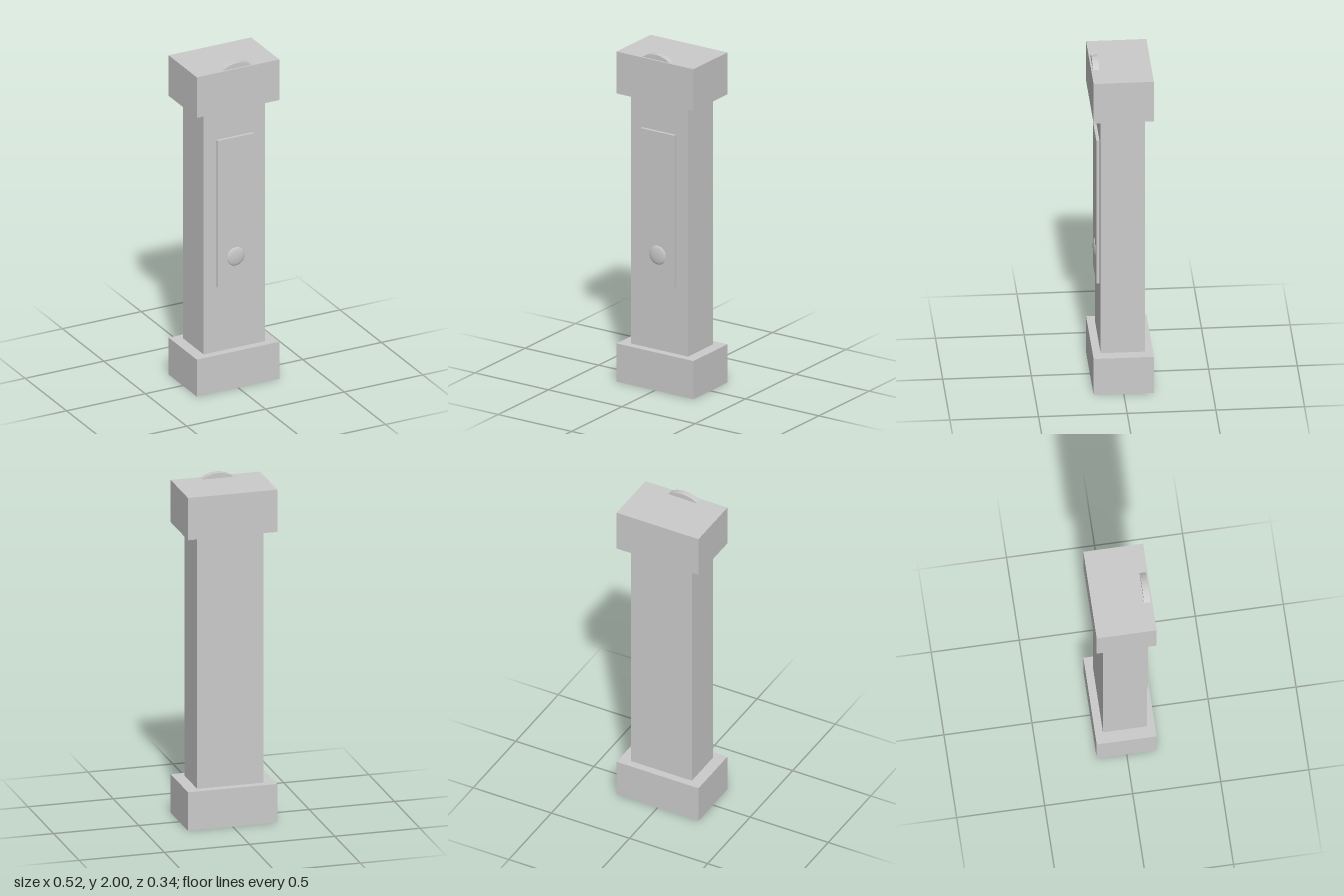
import * as THREE from 'three';

export function createModel() {
  const clock = new THREE.Group();
  clock.name = 'longcaseClock';
  const material = new THREE.MeshStandardMaterial({ color: 0xcccccc });

  const add = (name, geometry, x, y, z) => {
    const mesh = new THREE.Mesh(geometry, material);
    mesh.name = name;
    mesh.position.set(x, y, z);
    clock.add(mesh);
    return mesh;
  };
  // Box given by its width, vertical range and depth range
  const box = (name, width, y0, y1, z0, z1) =>
    add(name, new THREE.BoxGeometry(width, y1 - y0, z1 - z0), 0, (y0 + y1) / 2, (z0 + z1) / 2);

  // Case: plinth, trunk and hood
  box('plinth', 0.524, 0, 0.228, -0.17, 0.17);
  box('trunk', 0.39, 0.228, 1.705, -0.125, 0.125);
  box('hood', 0.524, 1.72, 1.97, -0.17, 0.17);

  // Thin door on the front of the trunk
  box('trunkDoor', 0.23, 0.63, 1.535, 0.125, 0.143);

  // Round dial set in the hood, showing above and below it
  const dial = new THREE.CylinderGeometry(0.155, 0.155, 0.036, 32);
  dial.rotateX(Math.PI / 2);
  add('dial', dial, 0, 1.845, 0.142);

  // Flattened pendulum bob on the door
  const bob = add('pendulumBob', new THREE.SphereGeometry(0.056, 32, 20), 0, 0.8, 0.142);
  bob.scale.z = 0.2;

  return clock;
}
